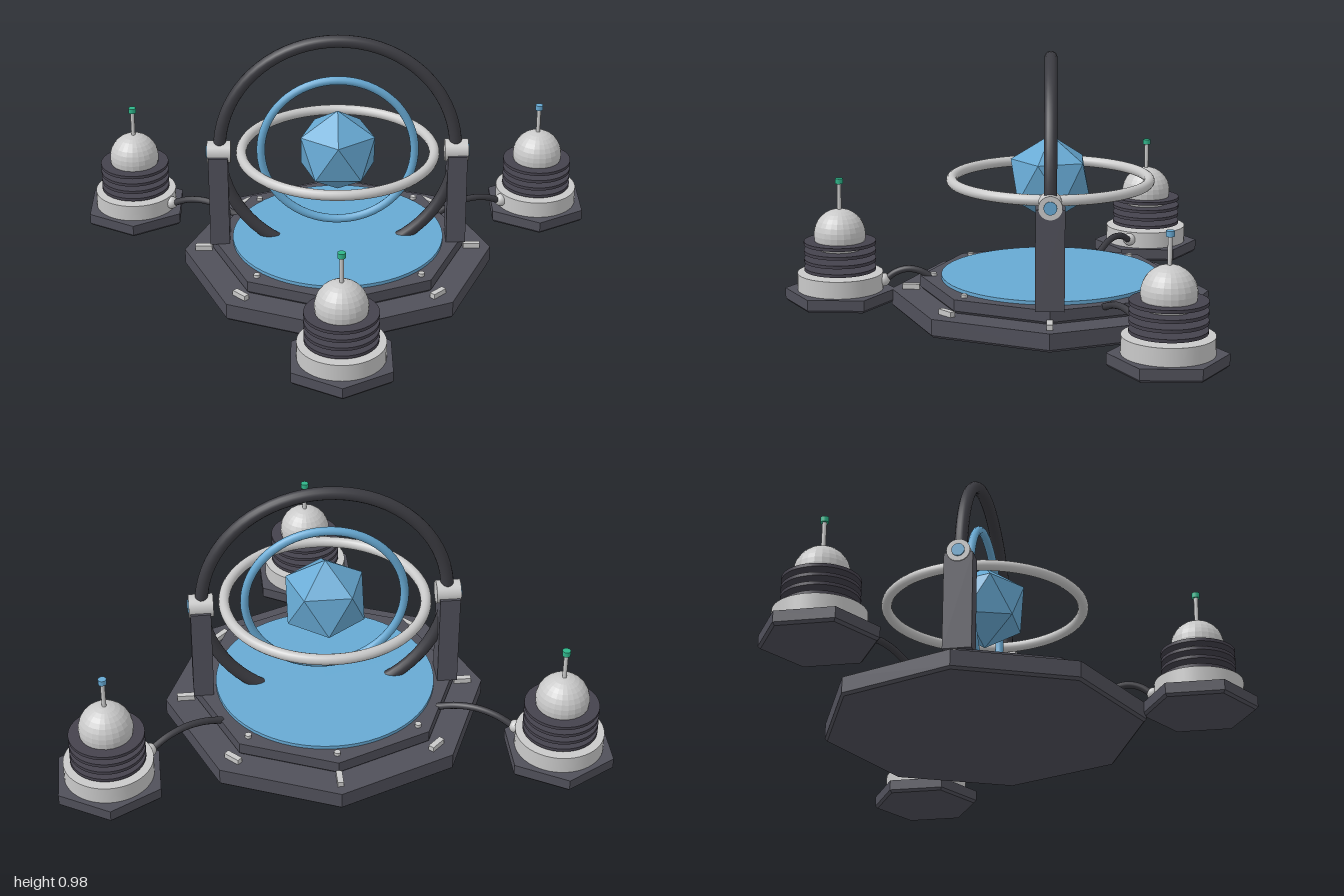
import * as THREE from 'three';

const mat = (name, color) => Object.assign(new THREE.MeshStandardMaterial({ color }), { name });

// Faceted copy of a geometry
function faceted(geo) {
  const g = geo.index ? geo.toNonIndexed() : geo;
  g.computeVertexNormals();
  return g;
}

export function createModel() {
  const slate = mat('slate metal', 0x50505a);
  const dark = mat('dark rubber', 0x3c3c42);
  const fin = mat('dark fin', 0x45424d);
  const silver = mat('silver', 0xc9c9c9);
  const blue = mat('blue', 0x67a9d3);
  const green = mat('green', 0x2fb58a);

  const model = new THREE.Group();
  model.name = 'gyroscopeStation';

  function add(parent, name, geo, material, x = 0, y = 0, z = 0) {
    const m = new THREE.Mesh(geo, material);
    m.name = name;
    m.position.set(x, y, z);
    parent.add(m);
    return m;
  }
  // Upright cylinder from y0 to y1
  const drum = (parent, name, r, y0, y1, material, sides = 48) =>
    add(parent, name, new THREE.CylinderGeometry(r, r, y1 - y0, sides), material, 0, (y0 + y1) / 2, 0);
  // Polygonal slab with a small bevel along its lower edge
  function slab(parent, name, r, y0, y1, sides) {
    const b = 0.01;
    const pts = [[0, y0], [r - b, y0], [r, y0 + b], [r, y1], [0, y1]].map(p => new THREE.Vector2(...p));
    return add(parent, name, faceted(new THREE.LatheGeometry(pts, sides)), slate);
  }

  // Central platform
  const core = new THREE.Group();
  core.name = 'centralPlatform';
  core.position.z = -0.2;
  model.add(core);
  slab(core, 'lowerDeck', 0.6, 0, 0.07, 8);
  slab(core, 'upperDeck', 0.49, 0.07, 0.122, 8);
  drum(core, 'blueFloor', 0.41, 0.12, 0.135, blue, 64);

  // Corner lugs and studs
  for (let i = 0; i < 8; i++) {
    const a = i * Math.PI / 4, c = Math.cos(a), s = Math.sin(a);
    const lug = add(core, 'cornerLug', new THREE.BoxGeometry(0.065, 0.02, 0.022), silver, c * 0.525, 0.08, s * 0.525);
    lug.rotation.y = a;
    add(core, 'cornerStud', new THREE.CylinderGeometry(0.012, 0.012, 0.014, 12), silver, c * 0.44, 0.127, s * 0.44);
  }

  // Side pillars with bearings
  for (const s of [-1, 1]) {
    add(core, 'pillar', new THREE.BoxGeometry(0.075, 0.37, 0.105), slate, s * 0.458, 0.305, 0);
    const bearing = new THREE.CylinderGeometry(0.043, 0.043, 0.09, 24).rotateZ(Math.PI / 2);
    add(core, 'bearing', bearing, silver, s * 0.455, 0.497, 0);
    const pin = new THREE.CylinderGeometry(0.024, 0.024, 0.012, 20).rotateZ(Math.PI / 2);
    add(core, 'bearingPin', pin, blue, s * 0.499, 0.497, 0);
  }

  // Nested rings and the crystal
  add(core, 'outerRing', new THREE.TorusGeometry(0.453, 0.024, 14, 72), dark, 0, 0.5, 0);
  add(core, 'horizontalRing', new THREE.TorusGeometry(0.37, 0.02, 14, 72).rotateX(Math.PI / 2), silver, 0, 0.497, 0);
  add(core, 'innerRing', new THREE.TorusGeometry(0.295, 0.016, 12, 64), blue, 0, 0.497, 0);
  const crystal = new THREE.IcosahedronGeometry(0.166, 0).rotateX(-Math.atan((1 + Math.sqrt(5)) / 2));
  add(core, 'crystal', crystal, blue, 0, 0.5, 0);

  // Three satellite pods, each with a cable to the platform
  const pods = [[0, 0.594, green], [-0.818, -0.6, green], [0.818, -0.6, blue]];
  for (const [x, z, tip] of pods) {
    const pod = new THREE.Group();
    pod.name = 'pod';
    pod.position.set(x, 0, z);
    model.add(pod);
    slab(pod, 'podFoot', 0.21, 0.02, 0.07, 6);
    drum(pod, 'podCollar', 0.162, 0.07, 0.135, silver);
    for (let i = 0; i < 4; i++) {
      const y = 0.145 + i * 0.0333;
      drum(pod, 'coolingFin', 0.136, y, y + 0.012, fin);
    }
    add(pod, 'podDome', faceted(new THREE.SphereGeometry(0.098, 24, 16)), silver, 0, 0.281, 0);
    drum(pod, 'antennaRod', 0.008, 0.37, 0.48, silver, 12);
    drum(pod, 'antennaTip', 0.015, 0.476, 0.496, tip, 16);

    // Cable arching towards the platform centre
    const dir = new THREE.Vector3(x, 0, z + 0.2);
    const d = dir.length();
    dir.normalize();
    const at = (r, y) => dir.clone().multiplyScalar(r).setY(y);
    const start = d - 0.165, end = 0.445;
    const lerp = t => start + (end - start) * t;
    const path = new THREE.CatmullRomCurve3([
      at(start, 0.1), at(lerp(0.25), 0.135), at(lerp(0.5), 0.148), at(lerp(0.75), 0.14), at(end, 0.115),
    ]);
    add(core, 'cable', new THREE.TubeGeometry(path, 24, 0.013, 10), dark);
    const plug = at(start, 0.105);
    add(core, 'cablePlug', new THREE.SphereGeometry(0.025, 16, 12), silver, plug.x, plug.y, plug.z);
  }
  return model;
}
